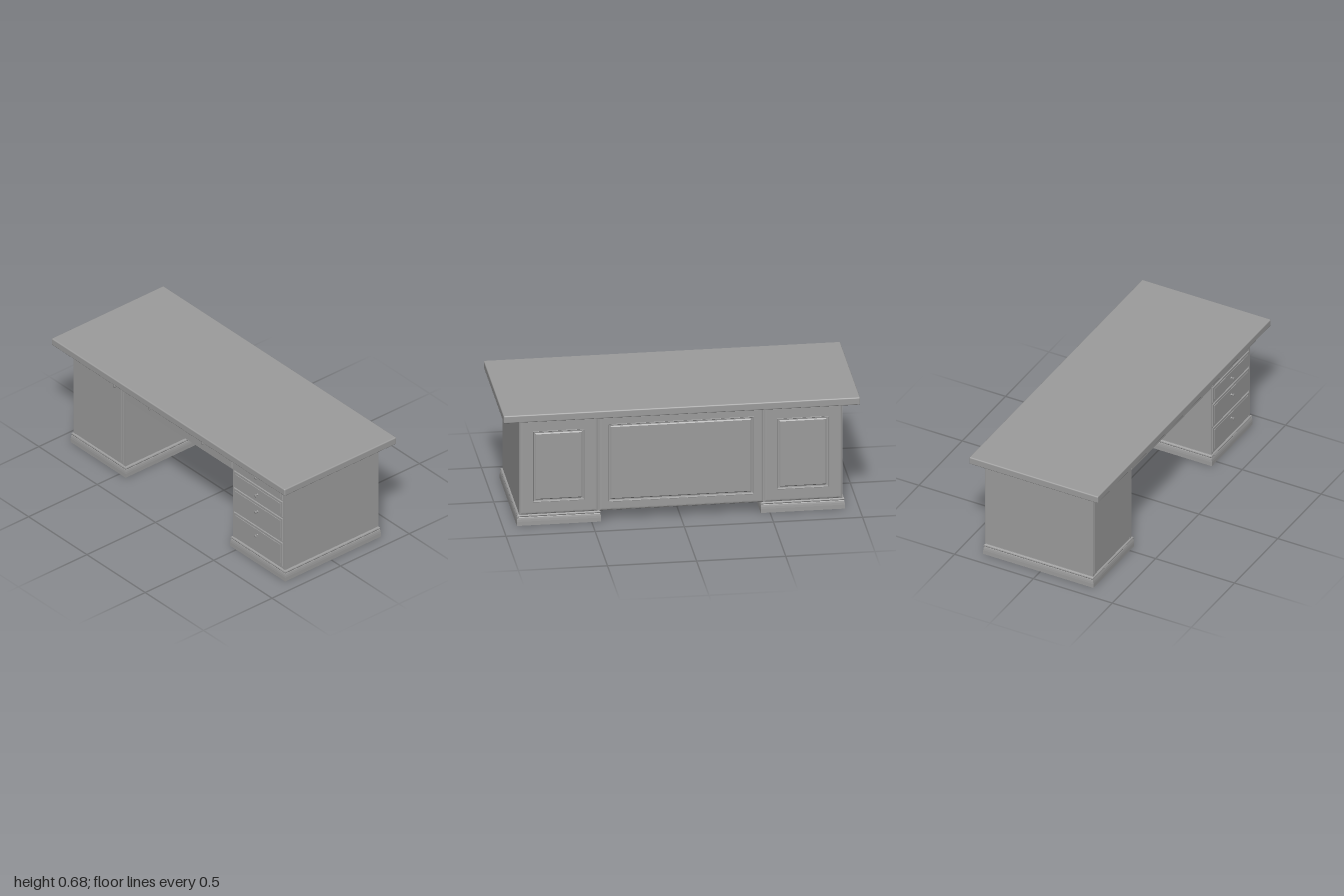
import * as THREE from 'three';
import { RoundedBoxGeometry } from 'three/addons/geometries/RoundedBoxGeometry.js';

const material = new THREE.MeshStandardMaterial({ color: 0x9c9c9c });

function add(parent, name, geometry, x = 0, y = 0, z = 0) {
  const mesh = new THREE.Mesh(geometry, material);
  mesh.name = name;
  mesh.position.set(x, y, z);
  parent.add(mesh);
  return mesh;
}

// Box given by its limits on each axis
function board(parent, name, [x0, x1], [y0, y1], [z0, z1]) {
  return add(parent, name, new THREE.BoxGeometry(x1 - x0, y1 - y0, z1 - z0),
    (x0 + x1) / 2, (y0 + y1) / 2, (z0 + z1) / 2);
}

// Mitred rectangle: a profile of [inset, height] points carried round w x h.
// A closed profile makes a frame, an open one gets a flat centre.
function mitred(w, h, profile, closed) {
  const loops = profile.map(([inset, z]) => {
    const a = w / 2 - inset, b = h / 2 - inset;
    return [[-a, -b, z], [a, -b, z], [a, b, z], [-a, b, z]];
  });
  const pos = [];
  const quad = (a, b, c, d) => pos.push(...a, ...b, ...c, ...a, ...c, ...d);
  const n = loops.length;
  for (let k = 0; k < (closed ? n : n - 1); k++) {
    const p = loops[k], q = loops[(k + 1) % n];
    for (let i = 0; i < 4; i++) {
      const j = (i + 1) % 4;
      quad(p[i], p[j], q[j], q[i]);
    }
  }
  if (!closed) {
    quad(...loops[n - 1]);
    quad(...loops[0].slice().reverse());
  }
  const g = new THREE.BufferGeometry();
  g.setAttribute('position', new THREE.Float32BufferAttribute(pos, 3));
  g.computeVertexNormals();
  return g;
}

function panel(parent, name, [x0, x1], [y0, y1], z, profile) {
  return add(parent, name, mitred(x1 - x0, y1 - y0, profile),
    (x0 + x1) / 2, (y0 + y1) / 2, z);
}

// Door and drawer fronts: thin lip round a slightly raised field
const frontProfile = [
  [0, 0], [0, 0.003], [0.003, 0.006], [0.016, 0.006], [0.0175, 0.008],
];

// Back panels: rounded edge, then a moulded groove
const backProfile = inset => [
  [0, 0], [0.001, 0.003], [0.004, 0.006], [0.01, 0.0085], [0.016, 0.009],
  [inset, 0.009], [inset + 0.003, 0.01], [inset + 0.007, 0.003],
  [inset + 0.014, 0.002], [inset + 0.02, 0.007],
];

const knobGeometry = new THREE.LatheGeometry([
  [0.007, 0], [0.007, 0.002], [0.0045, 0.003], [0.0045, 0.015],
  [0.01, 0.0155], [0.01, 0.0185], [0.006, 0.0195], [0, 0.02],
].map(([r, y]) => new THREE.Vector2(r, y)), 16).rotateX(Math.PI / 2);

const knob = (parent, x, y) => add(parent, 'knob', knobGeometry, x, y, 0.331);

export function createModel() {
  const desk = new THREE.Group();
  desk.name = 'desk';
  const frontZ = 0.324, backZ = -0.356;

  // Table top
  add(desk, 'top', new RoundedBoxGeometry(2, 0.045, 0.816, 3, 0.007), 0, 0.6605, 0);

  // Moulded plinth profile: outer face, bead, then down the inside
  const plinth = mitred(0.472, 0.698, [
    [0, 0], [0, 0.024], [0.001, 0.036], [0.003, 0.046], [0.005, 0.05],
    [0.003, 0.053], [0.002, 0.057], [0.004, 0.062], [0.008, 0.065],
    [0.026, 0.065], [0.026, 0.054], [0.012, 0.05], [0.012, 0],
  ], true).rotateX(-Math.PI / 2);

  // Inner frame that the door and drawers close against
  const faceFrame = mitred(0.412, 0.578, [
    [0, 0], [0, 0.016], [0.03, 0.016], [0.03, 0],
  ], true);

  // Hollow pedestals, open underneath
  for (const s of [-1, 1]) {
    const pedestal = new THREE.Group();
    pedestal.name = s < 0 ? 'rightPedestal' : 'leftPedestal';
    desk.add(pedestal);
    const span = (a, b) => (s < 0 ? [-b, -a] : [a, b]);
    add(pedestal, 'plinth', plinth, s * 0.684, 0, -0.013);
    board(pedestal, 'outerSide', span(0.89, 0.906), [0.062, 0.64], [backZ, frontZ + 0.002]);
    board(pedestal, 'innerSide', span(0.462, 0.478), [0.062, 0.64], [backZ, frontZ + 0.002]);
    board(pedestal, 'frontBoard', span(0.478, 0.89), [0.062, 0.64], [frontZ - 0.014, frontZ]);
    add(pedestal, 'faceFrame', faceFrame, s * 0.684, 0.351, frontZ - 0.03);
    board(pedestal, 'backBoard', span(0.478, 0.89), [0.062, 0.64], [backZ, backZ + 0.012]);
    panel(pedestal, 'backPanel', span(0.466, 0.904), [0.065, 0.637], backZ, backProfile(0.072))
      .rotation.y = Math.PI;
  }

  // Door
  panel(desk, 'door', [-0.897, -0.472], [0.078, 0.63], frontZ, frontProfile);
  knob(desk, -0.53, 0.575);

  // Drawer stack
  for (const [y0, y1, knobY] of [
    [0.522, 0.63, 0.575], [0.41, 0.511, 0.456], [0.248, 0.398, 0.345], [0.08, 0.237, 0.187],
  ]) {
    panel(desk, 'drawer', [0.47, 0.89], [y0, y1], frontZ, frontProfile);
    knob(desk, 0.678, knobY);
  }

  // Wide drawer over the knee space
  board(desk, 'drawerCase', [-0.462, 0.462], [0.507, 0.64], [backZ + 0.014, frontZ - 0.002]);
  panel(desk, 'centreDrawer', [-0.46, 0.455], [0.518, 0.632], frontZ - 0.002, frontProfile);
  for (const x of [-0.23, 0.225]) knob(desk, x, 0.575);

  // Panel closing the back of the knee space
  board(desk, 'kneeBoard', [-0.462, 0.462], [0.065, 0.64], [backZ, backZ + 0.014]);
  panel(desk, 'kneePanel', [-0.462, 0.462], [0.065, 0.637], backZ, backProfile(0.052))
    .rotation.y = Math.PI;

  return desk;
}
